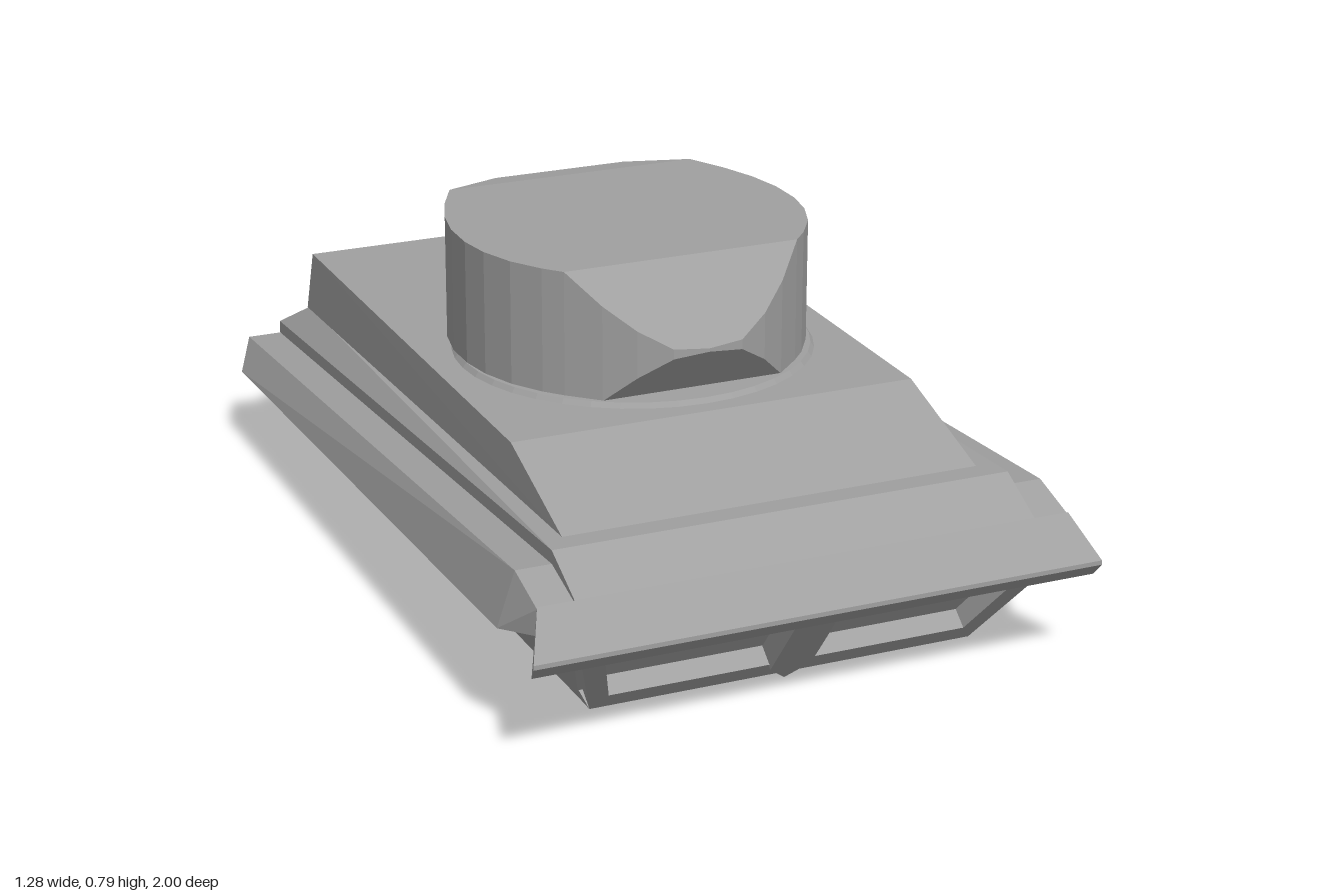
import * as THREE from 'three';
import { ConvexGeometry } from 'three/addons/geometries/ConvexGeometry.js';

export function createModel() {
  const model = new THREE.Group();
  const grey = new THREE.MeshStandardMaterial({ color: 0xa0a0a0, flatShading: true });
  grey.name = 'armour grey';

  function add(name, geometry) {
    const mesh = new THREE.Mesh(geometry, grey);
    mesh.name = name;
    model.add(mesh);
    return mesh;
  }
  // Convex solid from corner points [x, y, z]
  const solid = (name, points) =>
    add(name, new ConvexGeometry(points.map((p) => new THREE.Vector3(...p))));
  // Convex solid mirrored across x = 0
  const mirrored = (name, points) =>
    solid(name, points.flatMap(([x, y, z]) => [[x, y, z], [-x, y, z]]));

  // Lower hull, its nose set back behind the front frame
  mirrored('lowerHull', [
    [0.44, 0.03, 0.743], [0.44, 0, -0.78],
    [0.52, 0.235, 0.9], [0.52, 0.25, 0.8], [0.52, 0.19, -0.94],
  ]);

  // Front frame with two recessed panels, leaning along the nose slope
  const slope = Math.atan2(0.15, 0.19);
  const shape = (pts) => new THREE.Shape(pts.map((p) => new THREE.Vector2(...p)));
  const frame = shape([[-0.44, 0], [0.44, 0], [0.52, 0.242], [-0.52, 0.242]]);
  for (const s of [1, -1]) {
    frame.holes.push(shape([[s * 0.045, 0.05], [s * 0.41, 0.05], [s * 0.46, 0.215], [s * 0.045, 0.215]]));
  }
  const post = shape([[0, -0.005], [0.047, 0.045], [0.047, 0.23], [-0.047, 0.23], [-0.047, 0.045]]);
  for (const [name, outline, depth, back] of [['frontFrame', frame, 0.05, -0.05], ['frontPost', post, 0.055, -0.045]]) {
    const geometry = new THREE.ExtrudeGeometry(outline, { depth, bevelEnabled: false });
    geometry.translate(0, 0, back);
    geometry.rotateX(slope);
    geometry.translate(0, 0.03, 0.8);
    add(name, geometry);
  }
  mirrored('frontSill', [[0.44, 0.03, 0.8], [0.44, 0.03, 0.73], [0.45, 0.06, 0.765]]);

  // Upper body between the fenders, falling gently to the rear
  mirrored('upperBody', [
    [0.47, 0.397, 0.75], [0.47, 0.345, -0.91],
    [0.52, 0.4, 0.8], [0.52, 0.285, -1],
    [0.52, 0.34, 0.92], [0.52, 0.24, 0.92],
    [0.52, 0.255, -1], [0.52, 0.19, -0.94],
  ]);

  // Fenders
  for (const [name, s] of [['leftFender', 1], ['rightFender', -1]]) {
    const outer = [
      [0.6, 0.37, 0.8], [0.6, 0.255, -1], [0.6, 0.335, 0.92], [0.6, 0.28, 0.93],
      [0.64, 0.25, 0.8], [0.64, 0.19, -0.94],
    ];
    const inner = outer.map(([, y, z]) => [0.51, y, z]);
    solid(name, [...outer, ...inner].map(([x, y, z]) => [s * x, y, z]));
  }

  // Flared front lip
  mirrored('frontLip', [
    [0.6, 0.34, 0.92], [0.64, 0.255, 1], [0.64, 0.245, 1],
    [0.635, 0.215, 0.975], [0.6, 0.24, 0.93],
  ]);

  // Superstructure with sloped glacis
  mirrored('superstructure', [
    [0.475, 0.396, 0.75], [0.475, 0.345, -0.91],
    [0.47, 0.494, 0.45], [0.47, 0.494, -0.87],
  ]);

  // Turret ring
  const ring = add('turretRing', new THREE.CylinderGeometry(0.4, 0.415, 0.02, 40));
  ring.position.set(0, 0.495, 0);

  // Turret: upright walls, cut by sloping planes at nose and tail
  const plan = [
    [0, -0.51], [0.16, -0.43], [0.3, -0.36], [0.345, -0.27], [0.378, -0.18], [0.396, -0.09],
    [0.398, 0], [0.385, 0.08], [0.355, 0.16], [0.31, 0.23], [0.275, 0.27],
    [0.212, 0.33], [0.15, 0.375], [0.08, 0.41], [0, 0.416],
  ];
  const topY = (z) => Math.min(0.786, 0.786 - (z - 0.27) * 1.12, 0.786 + (z + 0.425) * 1.9);
  const bottomY = (z) => Math.max(0.503, 0.503 + (z - 0.33) * 1.3, 0.503 - (z + 0.35) * 0.7);
  mirrored('turret', plan.flatMap(([x, z]) => [[x, topY(z), z], [x, bottomY(z), z]]));

  return model;
}
